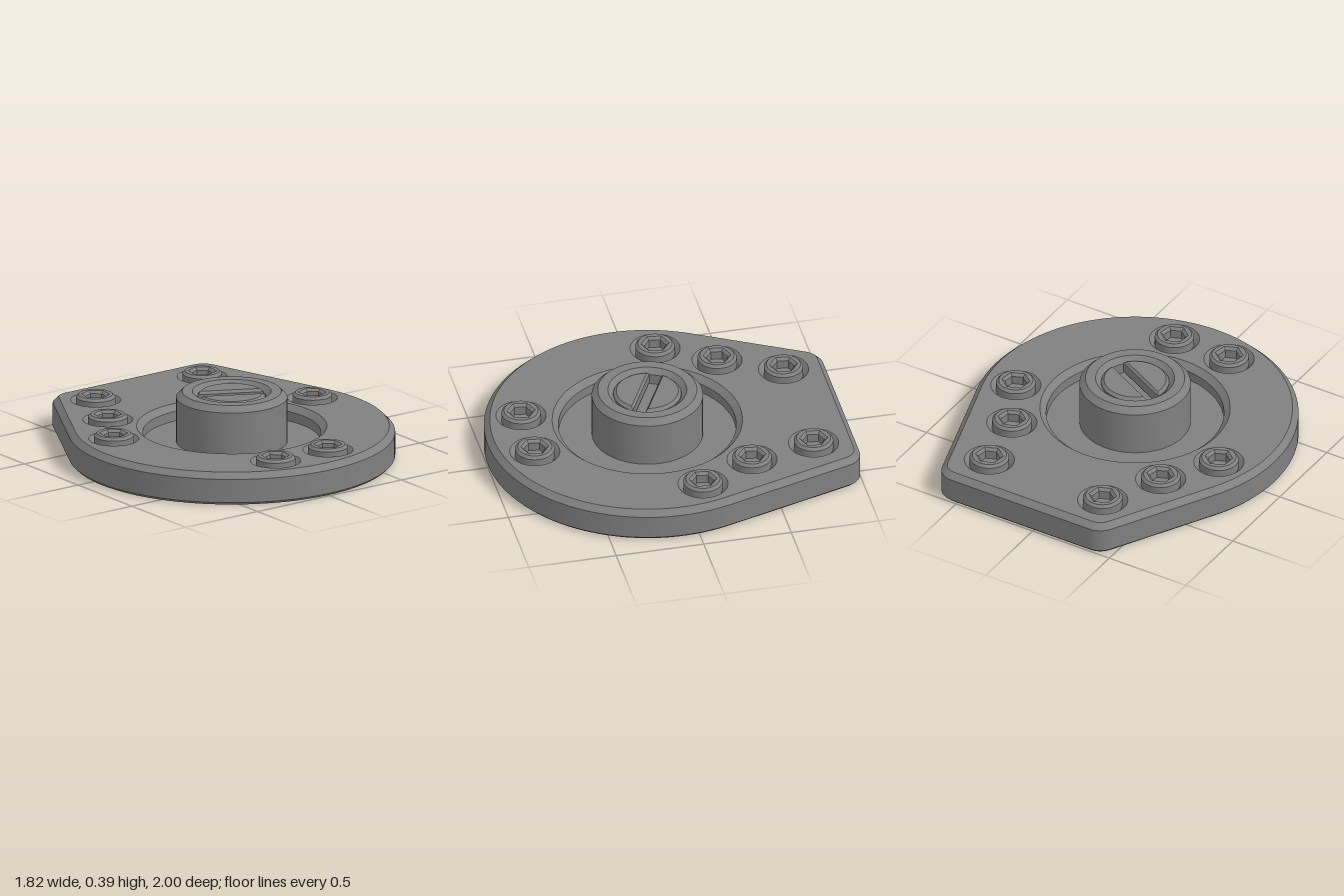
import * as THREE from 'three';
import { mergeGeometries, toCreasedNormals } from 'three/addons/utils/BufferGeometryUtils.js';

const SEG = 64;
const CENTRE_Z = 0.09;
const TOP = 0.183;
const SCREWS = [
  [-0.31, -0.76], [0.43, -0.76], [-0.48, -0.42], [0.51, -0.39],
  [-0.67, -0.11], [0.68, -0.07], [-0.2, 0.765], [0.16, 0.77],
];
const material = new THREE.MeshStandardMaterial({ color: 0x808080 });

// Plan shapes are drawn in (x, -z) and laid flat afterwards.
function arc(cx, cy, r, from, to, n) {
  return Array.from({ length: n + 1 }, (_, i) => {
    const a = from + ((to - from) * i) / n;
    return new THREE.Vector2(cx + r * Math.cos(a), cy + r * Math.sin(a));
  });
}

function circle(cx, cy, r, n = SEG, start = 0) {
  return arc(cx, cy, r, start, start + Math.PI * 2, n).slice(0, n);
}

// Plate outline: a large round end and two rounded corners, inset by d.
function outline(d) {
  const R = 0.91, r = 0.12, left = 2.64, right = 0.298;
  const cy = 1 - r;
  const cornerX = (a) => (R - r - Math.sin(a) * (cy + CENTRE_Z)) / Math.cos(a);
  return [
    ...arc(0, -CENTRE_Z, R - d, left, right + Math.PI * 2, 72),
    ...arc(cornerX(right), cy, r - d, right, Math.PI / 2, 10),
    ...arc(cornerX(left), cy, r - d, Math.PI / 2, left, 10),
  ];
}

function lathe(profile) {
  const points = profile.map(([x, y]) => new THREE.Vector2(x, y));
  return toCreasedNormals(new THREE.LatheGeometry(points, SEG), 0.5);
}

function add(parent, name, geometry) {
  const mesh = new THREE.Mesh(geometry, material);
  mesh.name = name;
  parent.add(mesh);
  return mesh;
}

function plateGeometry() {
  // Side wall with a small lower and a larger upper chamfer
  const rings = [[0.015, 0], [0, 0.015], [0, 0.15], [0.033, TOP]];
  const loops = rings.map(([d, y]) => outline(d).map((p) => [p.x, y, -p.y]));
  const pos = [];
  for (let k = 0; k < loops.length - 1; k++) {
    const a = loops[k], b = loops[k + 1];
    for (let i = 0; i < a.length; i++) {
      const j = (i + 1) % a.length;
      pos.push(...a[i], ...a[j], ...b[j], ...a[i], ...b[j], ...b[i]);
    }
  }
  const wall = new THREE.BufferGeometry();
  wall.setAttribute('position', new THREE.Float32BufferAttribute(pos, 3));

  // Top face with the centre recess and screw pockets cut out
  const topShape = new THREE.Shape(outline(0.033));
  topShape.holes.push(new THREE.Path(circle(0, -CENTRE_Z, 0.53)));
  for (const [x, z] of SCREWS) topShape.holes.push(new THREE.Path(circle(x, -z, 0.14)));
  const top = new THREE.ShapeGeometry(topShape).rotateX(-Math.PI / 2).translate(0, TOP, 0);

  // Underside: mirrored outline, turned over to face down
  const mirrored = outline(0.015).map((p) => new THREE.Vector2(p.x, -p.y));
  const under = new THREE.ShapeGeometry(new THREE.Shape(mirrored)).rotateX(Math.PI / 2);

  const parts = [wall, top, under].map((g) => {
    const out = g.index ? g.toNonIndexed() : g;
    out.deleteAttribute('uv');
    out.deleteAttribute('normal');
    return out;
  });
  return toCreasedNormals(mergeGeometries(parts), 0.5);
}

// Extrusion with chamfered rims, standing between y0 and y1
function chamfered(shape, y0, y1, c) {
  const g = new THREE.ExtrudeGeometry(shape, {
    depth: y1 - y0 - 2 * c, bevelEnabled: true, bevelSegments: 1,
    bevelThickness: c, bevelSize: c, bevelOffset: -c,
  });
  return toCreasedNormals(g.translate(0, 0, c).rotateX(-Math.PI / 2).translate(0, y0, 0), 0.5);
}

export function createModel() {
  const model = new THREE.Group();
  model.name = 'flangePlate';
  add(model, 'plate', plateGeometry());

  // Centre: recess, raised boss and the bore in its top
  const hub = new THREE.Group();
  hub.name = 'hub';
  hub.position.z = CENTRE_Z;
  model.add(hub);
  add(hub, 'recessAndBoss', lathe([
    [0.53, TOP], [0.495, 0.15], [0.495, 0.095], [0.31, 0.095], [0.31, 0.352],
    [0.276, 0.386], [0.22, 0.386], [0.19, 0.356], [0.19, 0.295], [0, 0.295],
  ]));

  // Slotted plug: two chamfered halves with a gap between them
  const r = 0.189, gap = 0.036;
  const a = Math.asin(gap / r);
  const half = chamfered(new THREE.Shape(arc(0, 0, r, a, Math.PI - a, 32)), 0.29, 0.378, 0.016);
  for (const side of [0, Math.PI]) {
    add(hub, 'slottedPlugHalf', half).rotation.y = side - 0.48;
  }

  // Socket-head screws sitting in countersunk pockets
  const pocket = lathe([[0.14, TOP], [0.11, 0.15], [0, 0.15]]);
  const headShape = new THREE.Shape(circle(0, 0, 0.11, 48));
  headShape.holes.push(new THREE.Path(circle(0, 0, 0.062, 6, Math.PI / 2)));
  const head = chamfered(headShape, 0.12, 0.216, 0.015);
  const socketFloor = new THREE.CircleGeometry(0.08, 24).rotateX(-Math.PI / 2).translate(0, 0.152, 0);
  for (const [x, z] of SCREWS) {
    const screw = new THREE.Group();
    screw.name = 'screw';
    screw.position.set(x, 0, z);
    add(screw, 'pocket', pocket);
    add(screw, 'screwHead', head).rotation.y = -0.15;
    add(screw, 'socketFloor', socketFloor);
    model.add(screw);
  }
  return model;
}
